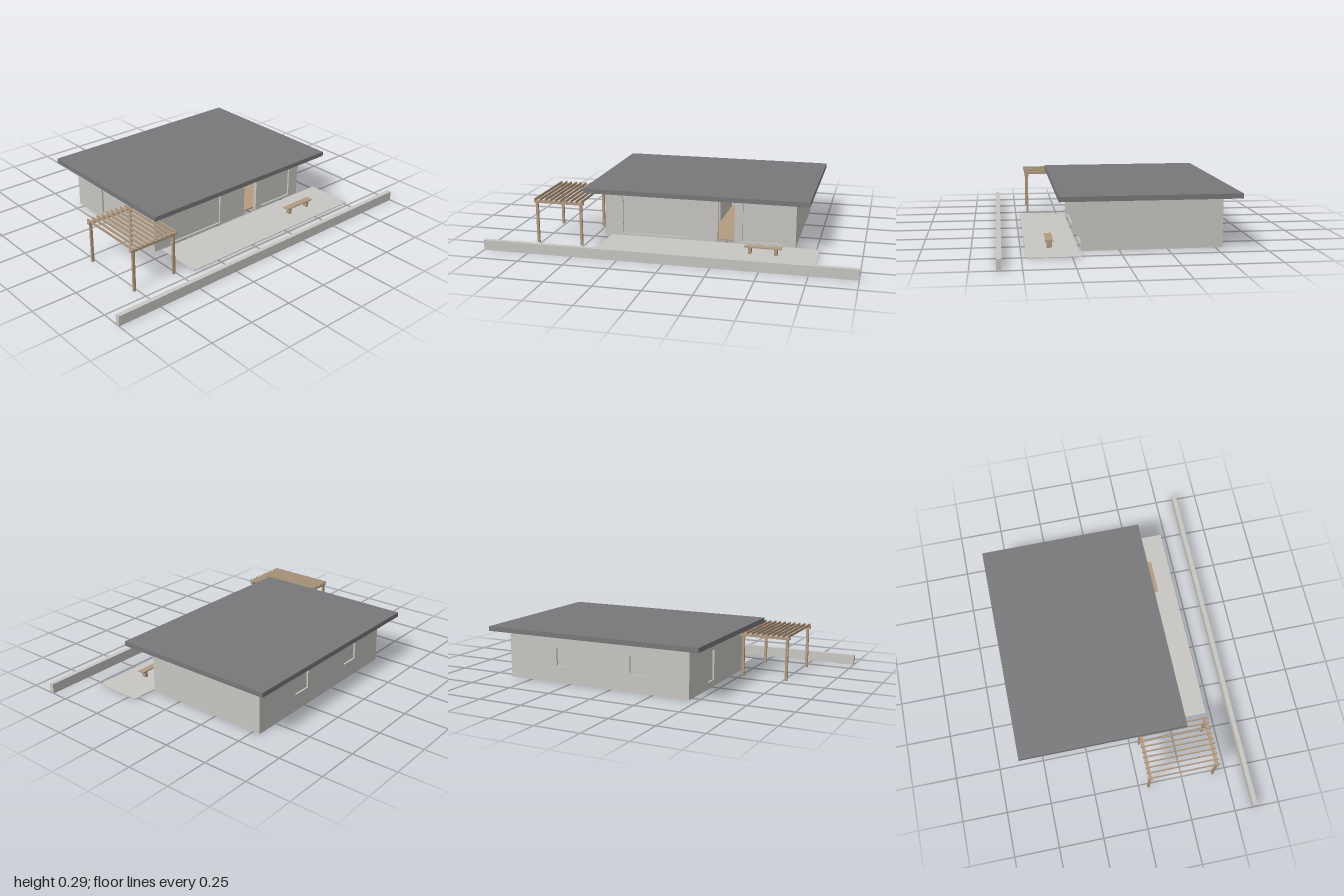
import * as THREE from 'three';

const mat = (name, color) => {
  const m = new THREE.MeshStandardMaterial({ color });
  m.name = name;
  return m;
};

export function createModel() {
  const model = new THREE.Group();
  model.name = 'bungalow';
  const plaster = mat('pale plaster', 0xc8c6c2);
  const slate = mat('slate grey', 0x78787a);
  const wood = mat('tan wood', 0xb39b82);

  // Box given by its limits on each axis
  const box = (parent, name, material, [x0, x1], [y0, y1], [z0, z1]) => {
    const mesh = new THREE.Mesh(new THREE.BoxGeometry(x1 - x0, y1 - y0, z1 - z0), material);
    mesh.position.set((x0 + x1) / 2, (y0 + y1) / 2, (z0 + z1) / 2);
    mesh.name = name;
    parent.add(mesh);
    return mesh;
  };
  const group = (name) => {
    const g = new THREE.Group();
    g.name = name;
    model.add(g);
    return g;
  };

  const T = 0.02, TOP = 0.267;
  const X0 = -0.455, X1 = 0.635, Z0 = -0.54, Z1 = 0.19;

  // Wall in the xy plane with window openings and recessed panes
  const house = group('house');
  const wall = (name, a, b, windows = []) => {
    const g = new THREE.Group();
    g.name = name;
    const shape = new THREE.Shape();
    shape.moveTo(a, 0).lineTo(b, 0).lineTo(b, TOP).lineTo(a, TOP).closePath();
    for (const [u0, u1, v0, v1] of windows) {
      const hole = new THREE.Path();
      hole.moveTo(u0, v0).lineTo(u0, v1).lineTo(u1, v1).lineTo(u1, v0).closePath();
      shape.holes.push(hole);
      box(g, 'windowPane', plaster, [u0, u1], [v0, v1], [0.006, 0.01]);
    }
    const geo = new THREE.ExtrudeGeometry(shape, { depth: T, bevelEnabled: false });
    const mesh = new THREE.Mesh(geo, plaster);
    mesh.name = name + 'Panel';
    g.add(mesh);
    house.add(g);
    return g;
  };

  // Front wall in two pieces, leaving a full-height doorway
  wall('frontWallRight', X0, 0.2, [[-0.35, 0.015, 0.012, 0.23]]).position.z = Z1 - T;
  wall('frontWallLeft', 0.295, X1, [[0.34, 0.565, 0.012, 0.23]]).position.z = Z1 - T;
  // Back wall with two small windows
  const back = wall('backWall', -X1, -X0, [[-0.335, -0.227, 0.095, 0.195], [0.115, 0.223, 0.095, 0.195]]);
  back.rotation.y = Math.PI;
  back.position.z = Z0 + T;
  // Side walls
  const right = wall('rightWall', Z0 + T, Z1 - T, [[-0.3, -0.222, 0.035, 0.2]]);
  right.rotation.y = -Math.PI / 2;
  right.position.x = X0 + T;
  const left = wall('leftWall', -Z1 + T, -Z0 - T);
  left.rotation.y = Math.PI / 2;
  left.position.x = X1 - T;

  // Floor, inner partition with a door gap, and flat roof
  box(house, 'floor', wood, [X0 + T, X1 - T], [0.004, 0.012], [Z0 + T, Z1 - T]);
  for (const z of [[-0.09, -0.035], [-0.52, -0.155]])
    box(house, 'partition', plaster, [0.134, 0.144], [0.003, TOP], z);
  box(house, 'roof', slate, [-0.54, 0.718], [TOP, 0.293], [-0.622, 0.312]);

  // Terrace and low garden wall
  box(model, 'terrace', plaster, [-0.416, 0.77], [0, 0.004], [0.203, 0.476]);
  box(model, 'gardenWall', plaster, [-1, 1], [0, 0.056], [0.597, 0.622]);

  // Pergola
  const pergola = group('pergola');
  for (const z of [0.055, 0.425]) {
    for (const x of [-0.766, -0.513])
      box(pergola, 'post', wood, [x - 0.007, x + 0.007], [0, 0.23], [z - 0.006, z + 0.006]);
    box(pergola, 'beam', wood, [-0.782, -0.497], [0.229, 0.243], [z - 0.009, z + 0.009]);
  }
  for (let i = 0; i < 10; i++) {
    const x = -0.773 + i * 0.0297;
    box(pergola, 'rafter', wood, [x - 0.003, x + 0.003], [0.242, 0.256], [0.04, 0.441]);
  }

  // Bench
  const bench = group('bench');
  box(bench, 'seat', wood, [0.38, 0.58], [0.04, 0.046], [0.332, 0.37]);
  for (const x of [0.41, 0.55])
    box(bench, 'leg', wood, [x - 0.008, x + 0.008], [0.004, 0.04], [0.338, 0.365]);

  return model;
}
